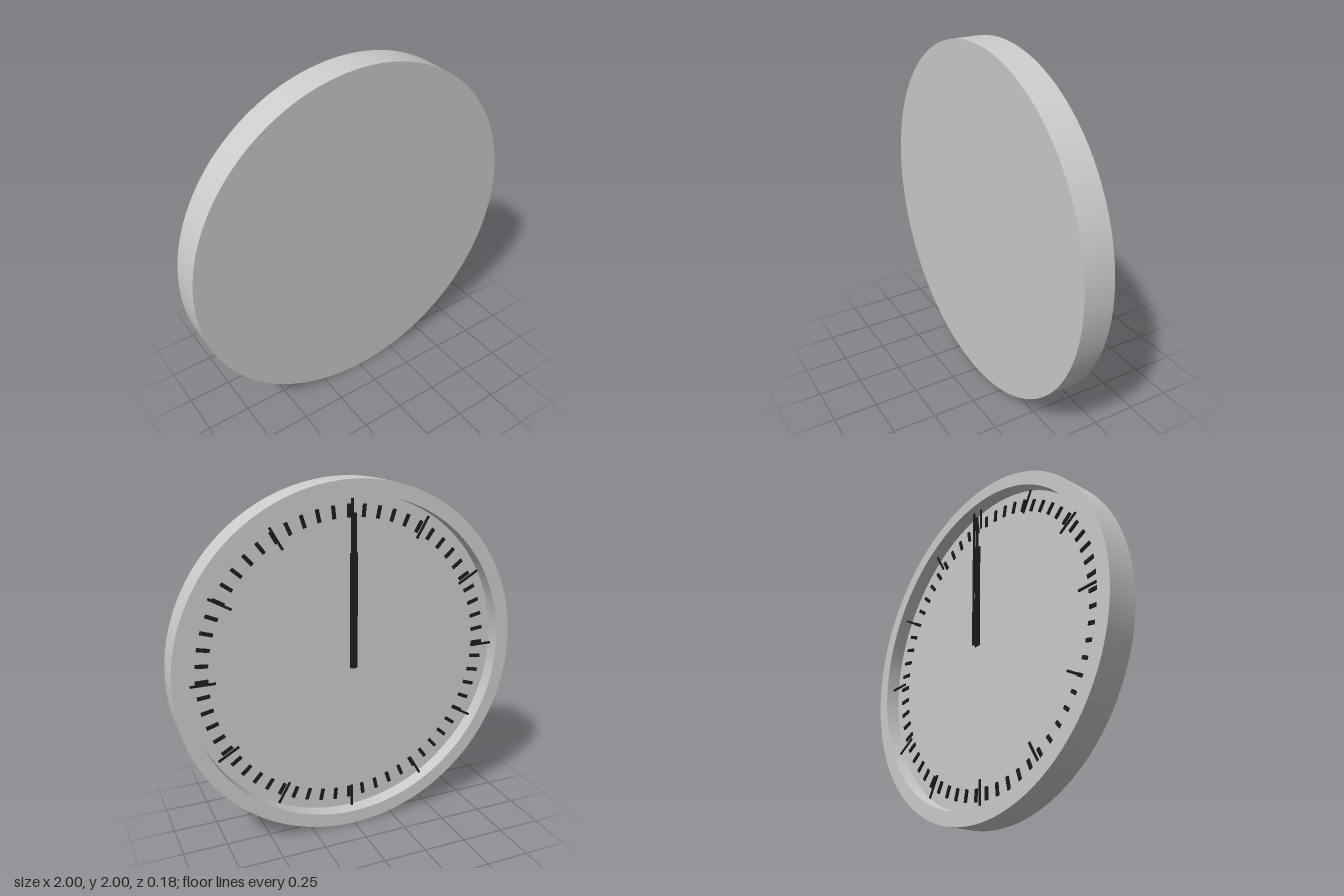
import * as THREE from 'three';

export function createModel() {
  const model = new THREE.Group();
  model.name = 'wallClock';
  const grey = new THREE.MeshStandardMaterial({ color: 0xcccccc });
  grey.name = 'case grey';
  const black = new THREE.MeshStandardMaterial({ color: 0x1c1c1c });
  black.name = 'marking black';

  // everything is built around the clock centre; the dial faces -z
  const clock = new THREE.Group();
  clock.name = 'clock';
  clock.position.y = 1;
  model.add(clock);

  // case: each profile step (radius, z) is its own turned surface, so edges stay sharp
  const profile = [[0, 0], [0.92, 0], [0.92, -0.083], [1, -0.083], [1, 0.0885], [0, 0.0885]];
  const names = ['dial', 'rimInside', 'rimFace', 'rimOutside', 'backPlate'];
  names.forEach((name, i) => {
    const pts = [profile[i], profile[i + 1]].map(p => new THREE.Vector2(p[0], p[1]));
    const geo = new THREE.LatheGeometry(pts, 128);
    geo.rotateX(Math.PI / 2);
    const mesh = new THREE.Mesh(geo, grey);
    mesh.name = name;
    clock.add(mesh);
  });

  // upright bar from y0 to y1, spun about the clock centre
  function bar(name, width, y0, y1, zFront, depth, x = 0, angle = 0) {
    const geo = new THREE.BoxGeometry(width, y1 - y0, depth);
    geo.translate(x, (y0 + y1) / 2, zFront + depth / 2);
    const mesh = new THREE.Mesh(geo, black);
    mesh.name = name;
    mesh.rotation.z = angle;
    clock.add(mesh);
  }

  // minute marks on the dial, longer raised marks at the hours
  for (let i = 0; i < 60; i++) {
    const angle = (i / 60) * Math.PI * 2;
    bar('minuteMark', 0.02, 0.795, 0.865, -0.008, 0.008, 0, angle);
    if (i % 5 === 0) bar('hourMark', 0.013, 0.765, 0.9, -0.05, 0.006, 0, angle);
  }

  // hands, all at twelve
  bar('hourHand', 0.042, -0.02, 0.62, -0.073, 0.006);
  bar('minuteHand', 0.022, -0.02, 0.83, -0.08, 0.006);
  bar('secondHand', 0.014, -0.012, 0.86, -0.0885, 0.006, 0.016);

  return model;
}
